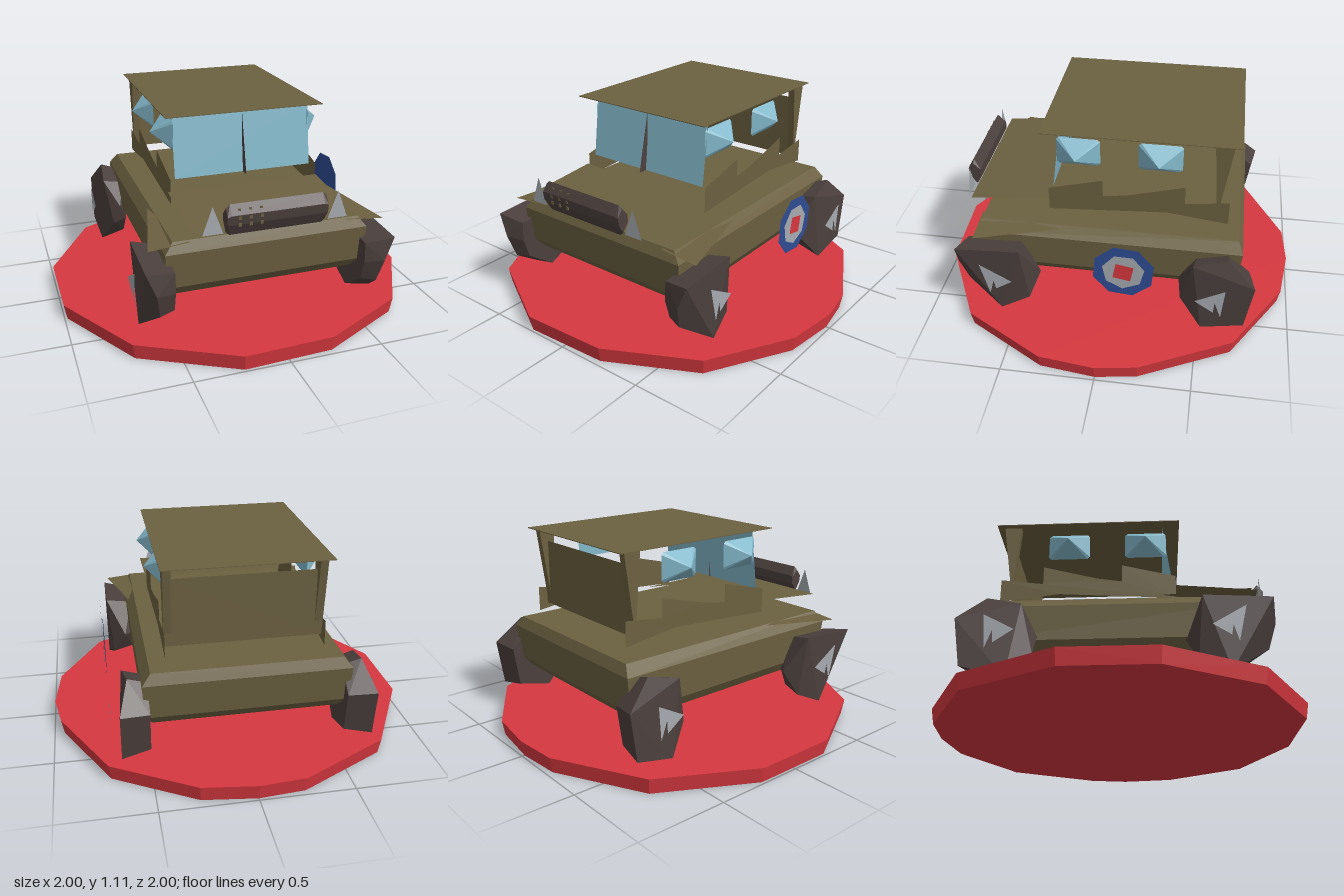
import * as THREE from 'three';
import { ConvexGeometry } from 'three/addons/geometries/ConvexGeometry.js';

const V = (x, y, z) => new THREE.Vector3(x, y, z);

export function createModel() {
  const root = new THREE.Group();
  const mat = (name, color) => {
    const m = new THREE.MeshStandardMaterial({ color, flatShading: true, side: THREE.DoubleSide });
    m.name = name;
    return m;
  };
  const olive = mat('olive', 0x6b6040);
  const brown = mat('dark brown', 0x4b403d);
  const red = mat('red', 0xd6383f);
  const blue = mat('blue', 0x2f4d94);
  const glass = mat('light blue', 0x84b9cb);
  const grey = mat('grey', 0xa6abb0);

  const add = (name, geo, material, x = 0, y = 0, z = 0) => {
    const m = new THREE.Mesh(geo, material);
    m.name = name;
    m.position.set(x, y, z);
    root.add(m);
    return m;
  };
  const shape = (pts) => new THREE.Shape(pts.map(([a, b]) => new THREE.Vector2(a, b)));
  // flat sheet given as [z, y] outline, standing at a given x
  const sideSheet = (name, pts, material, x) => {
    const m = add(name, new THREE.ShapeGeometry(shape(pts.map(([z, y]) => [-z, y]))), material, x);
    m.rotation.y = Math.PI / 2;
    return m;
  };
  // flat sheet from corners in order
  const sheet = (name, corners, material) => {
    const g = new THREE.BufferGeometry().setFromPoints(corners);
    g.setIndex(corners.length === 3 ? [0, 1, 2] : [0, 1, 2, 0, 2, 3]);
    g.computeVertexNormals();
    return add(name, g, material);
  };

  // Display disc, an uneven polygon
  const rim = [[0, -1], [0.29, -0.96], [0.72, -0.7], [0.96, -0.22], [0.995, 0], [0.96, 0.3], [0.71, 0.74],
    [0.24, 0.98], [-0.24, 1], [-0.73, 0.73], [-1, 0.24], [-1, -0.23], [-0.73, -0.73], [-0.25, -0.98]];
  add('baseDisc', new ConvexGeometry(rim.flatMap(([x, z]) => [V(x, 0.085, z), V(x * 0.985, 0, z * 0.985)])), red);

  // Lower body: stacked rectangles
  const bodyPts = [];
  for (const [y, hx, hz] of [[0.587, 0.495, 0.685], [0.53, 0.54, 0.71], [0.34, 0.53, 0.69], [0.28, 0.49, 0.64]])
    for (const sx of [-1, 1]) for (const sz of [-1, 1]) bodyPts.push(V(sx * hx - 0.008, y, sz * hz));
  add('body', new ConvexGeometry(bodyPts), olive);

  // Wheels: faceted outlines as [z, y, x of the rim]
  const frontOutline = [[0.8, 0.49, 0.65], [0.45, 0.51, 0.65], [0.365, 0.305, 0.55], [0.42, 0.17, 0.62],
    [0.575, 0.1, 0.65], [0.765, 0.235, 0.58], [0.805, 0.365, 0.6]];
  const rearOutline = [[-0.46, 0.5, 0.62], [-0.64, 0.545, 0.6], [-0.785, 0.41, 0.65], [-0.745, 0.15, 0.65],
    [-0.52, 0.095, 0.64], [-0.4, 0.24, 0.58], [-0.385, 0.35, 0.54]];
  const wheelGeo = (outline, cz, cy, s) => new ConvexGeometry(outline.flatMap(([z, y, x]) => [
    V(s * x, y, z), V(s * 0.5, cy + (y - cy) * 0.85, cz + (z - cz) * 0.85)]));
  // Hub plates, triangles with a notch, as [z, y]
  const frontHub = [[0.66, 0.435], [0.49, 0.335], [0.58, 0.275], [0.59, 0.33], [0.615, 0.24]];
  const rearHub = [[-0.48, 0.33], [-0.635, 0.415], [-0.62, 0.23], [-0.585, 0.33], [-0.58, 0.26]];
  for (const s of [-1, 1]) {
    const side = s > 0 ? 'left' : 'right';
    add(side + 'FrontWheel', wheelGeo(frontOutline, 0.59, 0.31, s), brown, s < 0 ? -0.015 : 0);
    add(side + 'RearWheel', wheelGeo(rearOutline, -0.585, 0.32, s), brown, s < 0 ? -0.015 : 0);
    sideSheet(side + 'FrontHub', frontHub, grey, s * 0.69);
    sideSheet(side + 'RearHub', rearHub, grey, s * 0.69);

    // Front fender flap
    sheet(side + 'Fender', [V(s * 0.525, 0.59, 0.25), V(s * 0.63, 0.56, 0.7), V(s * 0.42, 0.58, 0.7)], olive);

    // Cab side with raised door points
    sideSheet(side + 'CabSide', [[0.33, 0.63], [-0.3, 0.67], [-0.62, 0.63], [-0.62, 0.765], [-0.39, 0.735],
      [-0.39, 0.84], [-0.09, 0.76], [0.04, 0.74], [0.04, 0.84], [0.33, 0.765]], olive, s * 0.41 - 0.005);

    // Rear post, tapering downwards
    const post = [];
    for (const dx of [0.37, 0.41]) post.push(V(s * dx, 1.1, -0.525), V(s * dx, 1.1, -0.62), V(s * dx, 0.67, -0.56));
    add(side + 'RearPost', new ConvexGeometry(post), olive, -0.005);

    // Side windows: shallow pyramids on a clipped rectangle
    for (const [i, cz] of [0.17, -0.255].entries()) {
      const pts = [V(s * 0.472, 0.985, cz)];
      for (const a of [-1, 1]) for (const b of [-1, 1])
        pts.push(V(s * 0.375, 0.985 + a * 0.078, cz + b * 0.1), V(s * 0.375, 0.985 + a * 0.065, cz + b * 0.114));
      add(side + (i ? 'RearWindow' : 'FrontWindow'), new ConvexGeometry(pts), glass, -0.007);
    }

    // Headlight, a flat spike
    add(side + 'Headlight', new THREE.ShapeGeometry(shape([[-0.053, 0.643], [0.053, 0.643], [0, 0.787]])),
      grey, s * 0.325 - 0.007, 0, 0.785);
  }

  // Hood sheet, roof and back panel
  sheet('hood', [V(-0.43, 0.66, 0.76), V(0.41, 0.66, 0.76), V(0.41, 0.7, 0.33), V(-0.43, 0.7, 0.33)], olive);
  add('roof', new THREE.BoxGeometry(0.86, 0.004, 1.02), olive, -0.01, 1.106, -0.15);
  add('backPanel', new THREE.PlaneGeometry(0.81, 0.36), olive, -0.005, 0.85, -0.57);

  // Windshield with a centre fin
  sheet('windshield', [V(-0.385, 0.76, 0.31), V(0.375, 0.76, 0.31), V(0.375, 1.1, 0.265), V(-0.385, 1.1, 0.265)], glass);
  sideSheet('windshieldFin', [[0.36, 0.76], [0.3, 0.76], [0.285, 1.09]], brown, -0.008);

  // Grille: faceted lens section, narrowed at the ends
  const grillePts = [];
  for (const [hx, k] of [[0.24, 1], [0.26, 0.78]])
    for (const s of [-1, 1])
      for (const [z, y] of [[0.005, 0.08], [0.035, 0.03], [0.03, -0.02], [0, -0.08], [-0.035, -0.02], [-0.033, 0.03]])
        grillePts.push(V(s * hx, y * k, z));
  add('grille', new ConvexGeometry(grillePts), brown, -0.008, 0.71, 0.782);
  for (let i = 0; i < 3; i++)
    for (const y of [0.69, 0.725, 0.76])
      add('grilleSlot', new THREE.BoxGeometry(0.014, 0.016, 0.006), olive, -0.205 + i * 0.055, y, y > 0.75 ? 0.803 : 0.815);

  // Round marking on the left side, three flat polygons
  for (const [name, r, n, m, x, rot] of [['markingOuter', 0.165, 8, blue, 0.688, 0.3],
    ['markingMiddle', 0.112, 7, grey, 0.691, 0.2], ['markingCentre', 0.066, 4, red, 0.694, 0.6]]) {
    const disc = add(name, new THREE.CircleGeometry(r, n, rot), m, x, 0.482, -0.108);
    disc.rotation.y = Math.PI / 2;
  }
  return root;
}
